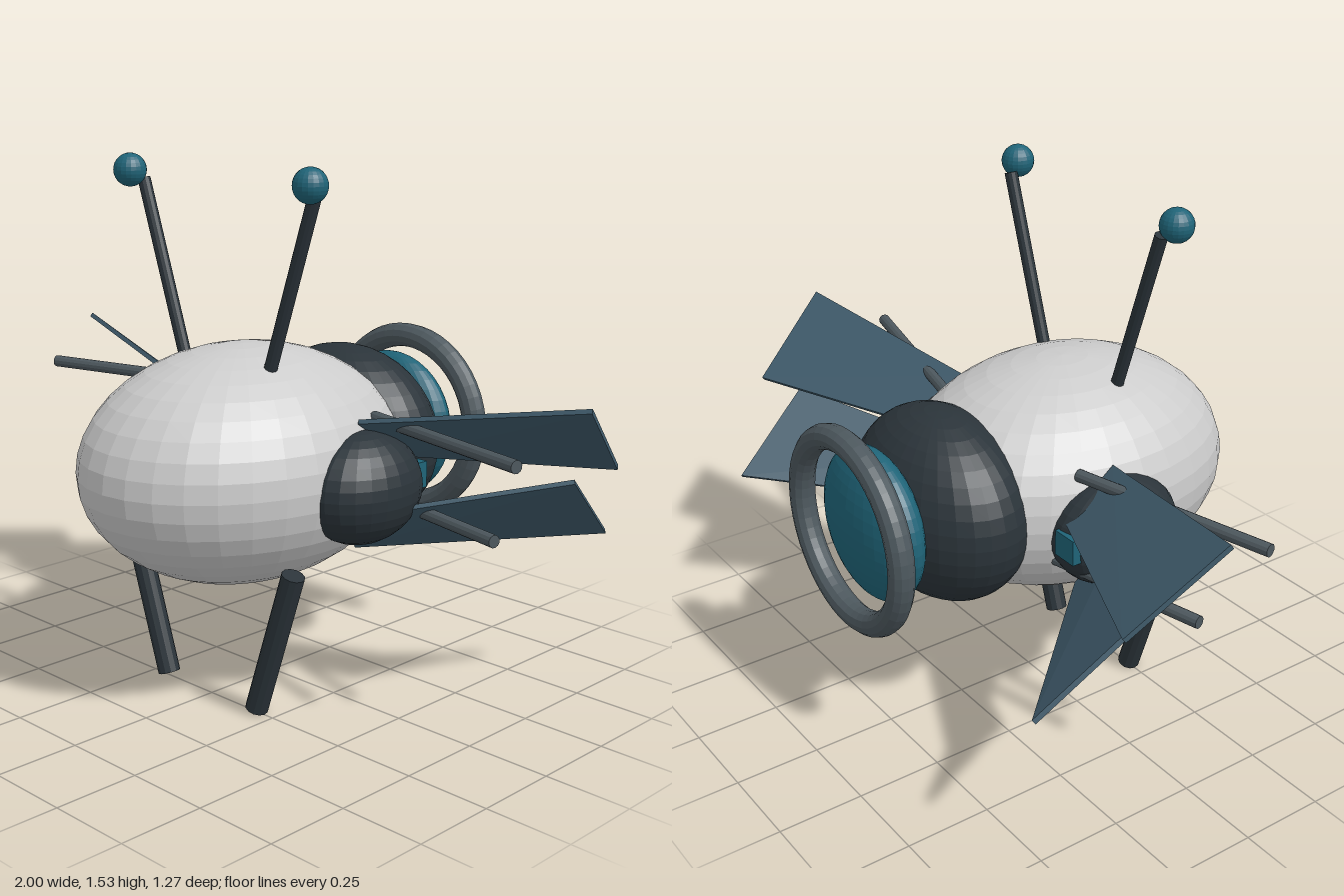
import * as THREE from 'three';
import { ConvexGeometry } from 'three/addons/geometries/ConvexGeometry.js';

const mat = (color) => new THREE.MeshStandardMaterial({ color, flatShading: true });
const V = (x, y, z) => new THREE.Vector3(x, y, z);

export function createModel() {
  const group = new THREE.Group();
  const shell = mat(0xcccccc), dark = mat(0x2b343a), teal = mat(0x1f6478);
  const metal = mat(0x4d585e), wingMat = mat(0x3f5a6a);

  const add = (name, geometry, material) => {
    const mesh = new THREE.Mesh(geometry, material);
    mesh.name = name;
    group.add(mesh);
    return mesh;
  };
  const ellipsoid = (name, c, r, material, w = 32, h = 20) => {
    const mesh = add(name, new THREE.SphereGeometry(1, w, h), material);
    mesh.position.set(...c);
    mesh.scale.set(...r);
  };
  // Straight rod between two points
  const rod = (name, a, b, r, material) => {
    const mesh = add(name, new THREE.CylinderGeometry(r, r, a.distanceTo(b), 12), material);
    mesh.position.copy(a).lerp(b, 0.5);
    mesh.quaternion.setFromUnitVectors(V(0, 1, 0), b.clone().sub(a).normalize());
  };
  // Thin plate from four corners, thickened along its normal
  const plate = (name, corners, material) => {
    const n = corners[1].clone().sub(corners[0])
      .cross(corners[2].clone().sub(corners[0])).setLength(0.007);
    const points = corners.flatMap((p) => [p.clone().add(n), p.clone().sub(n)]);
    add(name, new ConvexGeometry(points), material);
  };

  // Body, rear housing, rear lens and ring
  ellipsoid('body', [0, 0.677, 0.12], [0.405, 0.34, 0.515], shell);
  ellipsoid('rearHousing', [0, 0.677, -0.305], [0.325, 0.281, 0.22], dark);
  ellipsoid('rearLens', [0, 0.677, -0.525], [0.228, 0.228, 0.09], teal);
  const ring = add('rearRing', new THREE.TorusGeometry(0.268, 0.037, 12, 48), metal);
  ring.position.set(0, 0.677, -0.601);

  for (const s of [-1, 1]) {
    const side = s > 0 ? 'left' : 'right';
    const P = (x, y, z) => V(s * x, y, z);

    // Side pod with a small vent at its back
    ellipsoid(side + 'Pod', [s * 0.37, 0.652, 0.025], [0.147, 0.158, 0.195], dark, 24, 16);
    const vent = add(side + 'Vent', new THREE.BoxGeometry(0.08, 0.075, 0.07), teal);
    vent.position.set(s * 0.4, 0.665, -0.135);

    // Wings
    plate(side + 'UpperWing', [P(1, 0.945, -0.13), P(0.92, 0.735, -0.385),
      P(0.37, 0.715, -0.14), P(0.36, 0.835, 0.03)], wingMat);
    plate(side + 'LowerWing', [P(0.85, 0.7, -0.29), P(0.785, 0.49, -0.55),
      P(0.29, 0.45, -0.04), P(0.34, 0.565, 0.06)], wingMat);

    // Rods beside the wings
    rod(side + 'UpperRod', P(0.33, 0.826, -0.07), P(0.925, 0.826, 0.075), 0.018, metal);
    rod(side + 'LowerRod', P(0.3, 0.58, -0.14), P(0.79, 0.58, -0.025), 0.018, metal);

    // Antenna and leg
    rod(side + 'Antenna', P(0.175, 0.975, 0.183), P(0.34, 1.46, 0.183), 0.019, dark);
    ellipsoid(side + 'AntennaTip', [s * 0.357, 1.485, 0.22], [0.048, 0.048, 0.048], teal, 20, 14);
    rod(side + 'Leg', P(0.33, 0.44, 0.25), P(0.187, 0.011, 0.25), 0.033, dark);
  }
  return group;
}
